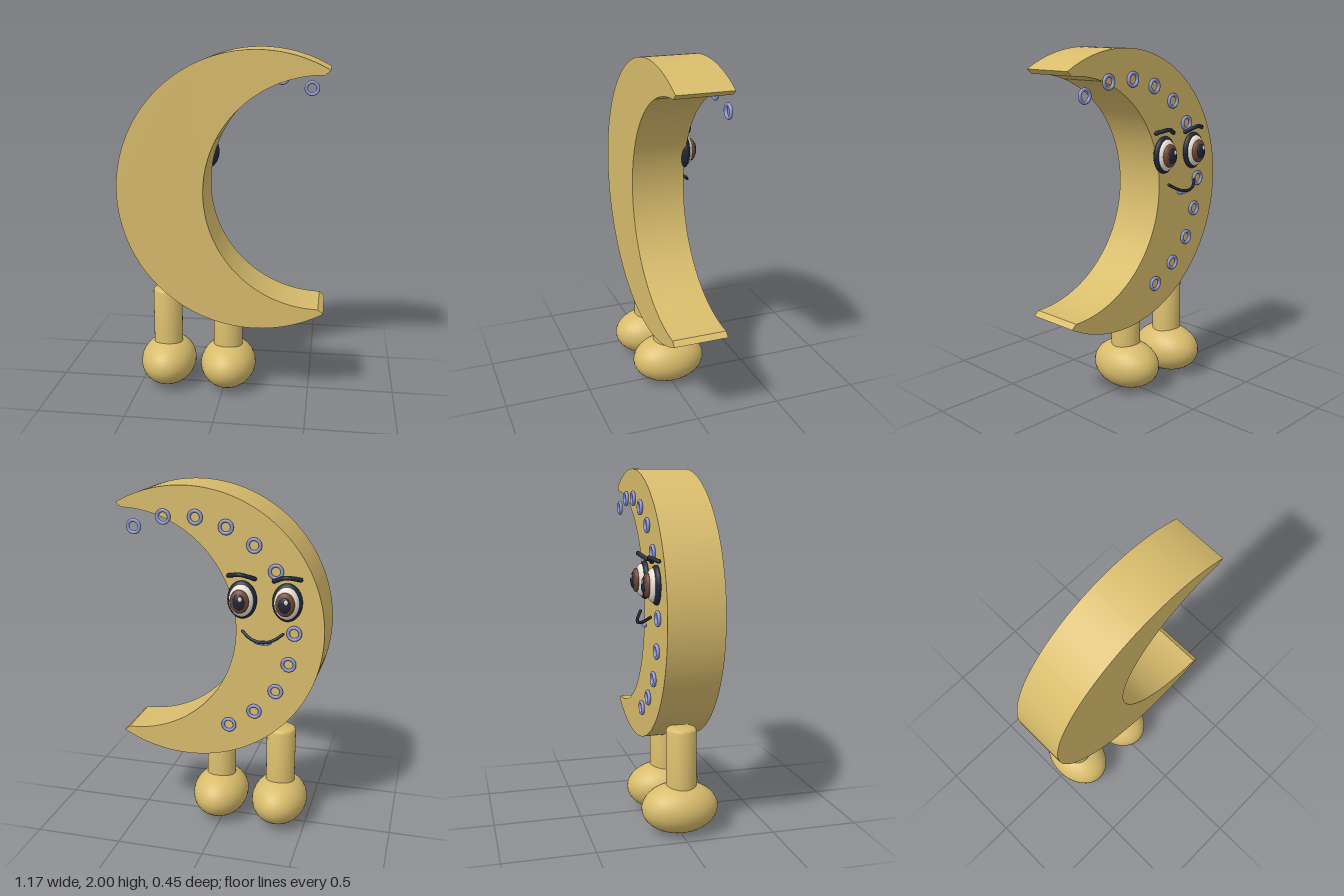
import * as THREE from 'three';
import { toCreasedNormals } from 'three/addons/utils/BufferGeometryUtils.js';

const paint = (name, color) => {
  const m = new THREE.MeshStandardMaterial({ color });
  m.name = name;
  return m;
};

export function createModel() {
  const gold = paint('gold', 0xd8bc6c);
  const lavender = paint('lavender', 0x8e96d4);
  const dark = paint('darkNavy', 0x1f2838);
  const white = paint('eyeWhite', 0xeee6d8);
  const brown = paint('irisBrown', 0x6f4634);

  const root = new THREE.Group();
  root.name = 'crescentMoon';

  const add = (parent, name, geometry, material, x = 0, y = 0, z = 0) => {
    const mesh = new THREE.Mesh(geometry, material);
    mesh.name = name;
    mesh.position.set(x, y, z);
    parent.add(mesh);
    return mesh;
  };
  const ellipsoid = (rx, ry, rz) => new THREE.SphereGeometry(1, 32, 20).scale(rx, ry, rz);

  // Crescent body: outer arc, blunt tips, inner arc
  const rad = THREE.MathUtils.degToRad;
  const outline = new THREE.Shape();
  outline.absarc(0.19, 1.22, 0.78, rad(60), rad(300), false);
  outline.absarc(0.55, 1.22, 0.65, rad(270), rad(90), true);
  outline.closePath();
  const body = new THREE.ExtrudeGeometry(outline, { depth: 0.312, bevelEnabled: false, curveSegments: 64 });
  add(root, 'crescentBody', toCreasedNormals(body, rad(30)), gold, 0, 0, -0.137);

  // Legs and egg-shaped feet
  const legProfile = [[0, 0.2], [0.085, 0.2], [0.085, 0.59], [0.08, 0.602], [0.068, 0.608], [0, 0.608]]
    .map(([r, y]) => new THREE.Vector2(r, y));
  for (const [side, x] of [['left', 0.022], ['right', -0.34]]) {
    const leg = toCreasedNormals(new THREE.LatheGeometry(legProfile, 32), rad(50));
    add(root, side + 'Leg', leg, gold, x, 0, 0.01);
    add(root, side + 'Foot', ellipsoid(0.163, 0.143, 0.217), gold, x, 0.148, 0.003);
  }

  // Row of small rings following the crescent
  const ringSpots = [
    [0.475, 1.77], [0.305, 1.83], [0.125, 1.835], [-0.045, 1.79], [-0.2, 1.7], [-0.32, 1.565],
    [-0.427, 1.23], [-0.4, 1.05], [-0.33, 0.885], [-0.21, 0.753], [-0.063, 0.655],
  ];
  const rings = new THREE.Group();
  rings.name = 'rings';
  root.add(rings);
  const ringGeometry = new THREE.TorusGeometry(0.034, 0.0095, 12, 28);
  for (const [x, y] of ringSpots) add(rings, 'ring', ringGeometry, lavender, x, y, -0.147);

  // Eyes: stacked ellipsoids growing out of the back face
  for (const [side, x] of [['left', -0.135], ['right', -0.385]]) {
    const eye = new THREE.Group();
    eye.name = side + 'Eye';
    eye.position.set(x, 1.4, 0);
    root.add(eye);
    add(eye, 'eyeRim', ellipsoid(0.083, 0.106, 0.036), dark, 0, 0, -0.143);
    add(eye, 'eyeball', ellipsoid(0.069, 0.09, 0.038), white, 0, 0, -0.16);
    add(eye, 'iris', ellipsoid(0.053, 0.066, 0.025), brown, 0.004, 0, -0.19);
    add(eye, 'pupil', ellipsoid(0.034, 0.044, 0.016), dark, 0.004, 0, -0.206);
    add(eye, 'highlight', ellipsoid(0.011, 0.014, 0.006), white, -0.006, 0.02, -0.22);
  }

  // Rounded strokes for brows and mouth
  const stroke = (name, points, radius) => {
    const path = points.map((p) => new THREE.Vector3(...p));
    const group = new THREE.Group();
    group.name = name;
    root.add(group);
    add(group, 'line', new THREE.TubeGeometry(new THREE.CatmullRomCurve3(path), 28, radius, 10), dark);
    for (const p of [points[0], points[points.length - 1]]) {
      add(group, 'roundEnd', new THREE.SphereGeometry(radius, 10, 8), dark, ...p);
    }
  };
  stroke('leftBrow', [[-0.06, 1.53, -0.148], [-0.132, 1.545, -0.178], [-0.205, 1.52, -0.148]], 0.012);
  stroke('rightBrow', [[-0.31, 1.515, -0.148], [-0.382, 1.543, -0.178], [-0.455, 1.53, -0.148]], 0.012);
  stroke('mouth', [[-0.145, 1.23, -0.17], [-0.2, 1.198, -0.2], [-0.26, 1.187, -0.212],
    [-0.32, 1.198, -0.2], [-0.37, 1.23, -0.17]], 0.0085);

  // Lower lip
  add(root, 'lowerLip', ellipsoid(0.05, 0.014, 0.01), lavender, -0.26, 1.174, -0.178);

  return root;
}
